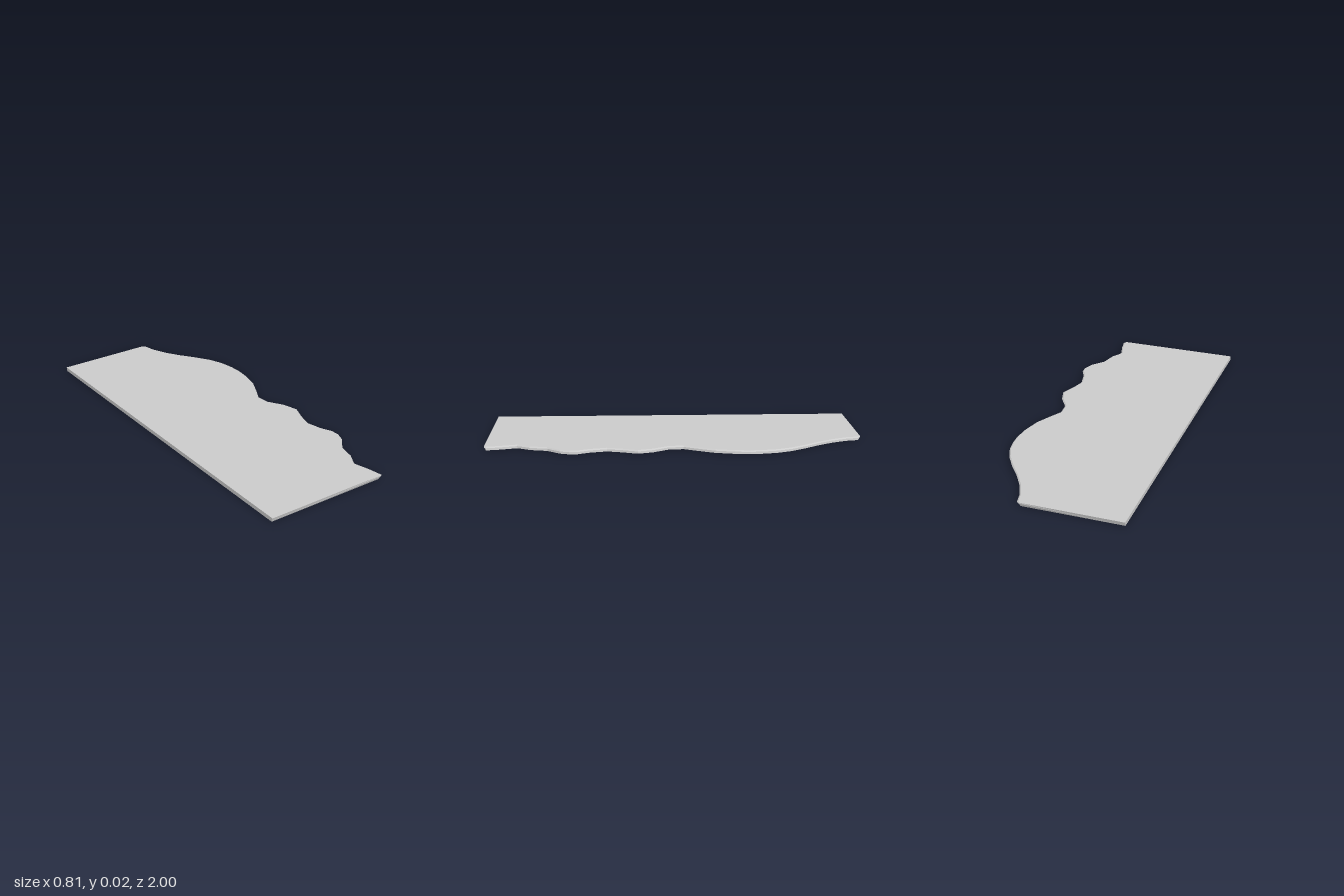
import * as THREE from 'three';

// Wavy edge of the slab as [x, z], from back to front
const EDGE = [
  [0.13, -1], [0.143, -0.985], [0.157, -0.92], [0.193, -0.84], [0.243, -0.76],
  [0.303, -0.68], [0.355, -0.6], [0.388, -0.52], [0.403, -0.44], [0.406, -0.38],
  [0.399, -0.3], [0.376, -0.2], [0.332, -0.11], [0.295, -0.04], [0.302, 0.04],
  [0.352, 0.12], [0.377, 0.2], [0.347, 0.28], [0.325, 0.36], [0.347, 0.45],
  [0.375, 0.51], [0.377, 0.55], [0.36, 0.6], [0.303, 0.67], [0.282, 0.76],
  [0.243, 0.83], [0.268, 0.92], [0.281, 0.99], [0.27, 1],
];
const LEFT = -0.407, TOP = 0.021, LIP = 0.015;

// Cross-section at edge position x: straight side, undercut and thin overhanging lip
const section = (x) => [
  [LEFT, 0], [x - 0.012, 0], [x - 0.015, LIP], [x, LIP], [x - 0.008, TOP], [LEFT, TOP],
];

export function createModel() {
  const rows = EDGE.map(([x, z]) => section(x).map(([px, py]) =>
    // the end faces lean in slightly towards the underside
    [px, py, Math.sign(z) * Math.min(Math.abs(z), 0.994 + 0.006 * Math.min(1, py / LIP))]));
  const pos = [];
  const tri = (a, b, c) => pos.push(...a, ...b, ...c);
  const n = rows[0].length;

  // Skin between neighbouring cross-sections
  for (let i = 0; i < rows.length - 1; i++) {
    for (let j = 0; j < n; j++) {
      const k = (j + 1) % n;
      const a = rows[i][j], b = rows[i][k], c = rows[i + 1][k], d = rows[i + 1][j];
      tri(a, b, c);
      tri(a, c, d);
    }
  }

  // End faces
  const cap = (row, flip) => {
    const outline = row.map(([x, y]) => new THREE.Vector2(x, y));
    for (const [a, b, c] of THREE.ShapeUtils.triangulateShape(outline, [])) {
      if (flip) tri(row[a], row[c], row[b]);
      else tri(row[a], row[b], row[c]);
    }
  };
  cap(rows[0], true);
  cap(rows[rows.length - 1], false);

  const geometry = new THREE.BufferGeometry();
  geometry.setAttribute('position', new THREE.Float32BufferAttribute(pos, 3));
  geometry.computeVertexNormals();

  const slab = new THREE.Mesh(geometry, new THREE.MeshStandardMaterial({ color: 0xcccccc }));
  slab.name = 'wavyEdgeSlab';
  const group = new THREE.Group();
  group.name = 'slab';
  group.add(slab);
  return group;
}
